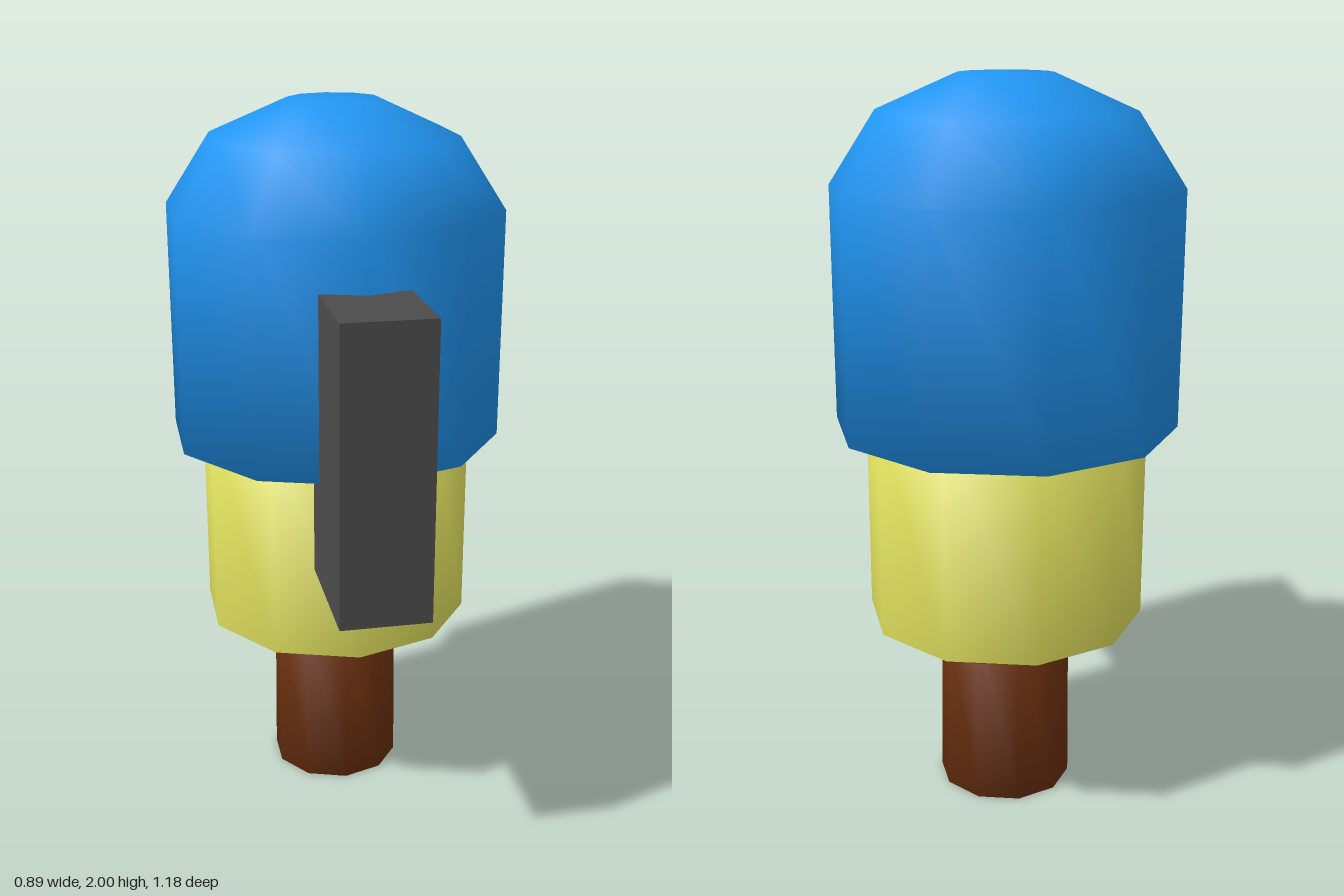
import * as THREE from 'three';

const SIDES = 10;
const BODY_Z = -0.12; // axis of all the turned parts

const paint = (color) => new THREE.MeshStandardMaterial({ color });

// Ten-sided turned part; the profile [radius, y] runs from the lower axis outward and up
function turned(name, color, profile) {
  const points = profile.map(([r, y]) => new THREE.Vector2(r, y));
  const mesh = new THREE.Mesh(new THREE.LatheGeometry(points, SIDES), paint(color));
  mesh.name = name;
  mesh.position.z = BODY_Z;
  return mesh;
}

export function createModel() {
  const model = new THREE.Group();
  model.name = 'model';

  // Domed cap with a flat underside
  model.add(turned('domedCap', 0x2196f3, [
    [0, 1.07], [0.47, 1.07], [0.47, 1.71], [0.342, 1.905], [0.125, 2], [0, 2],
  ]));

  // Sleeve, hollow from below, with a thin rim
  model.add(turned('sleeve', 0xdcdc5c, [
    [0, 0.68], [0.345, 0.68], [0.355, 0.52], [0.386, 0.52], [0.386, 1.12], [0, 1.12],
  ]));

  // Collar flaring up into the sleeve
  model.add(turned('collar', 0xb85c14, [
    [0, 0.435], [0.217, 0.435], [0.278, 0.69], [0, 0.69],
  ]));

  // Stem
  model.add(turned('stem', 0x6b300e, [
    [0, 0], [0.187, 0], [0.182, 0.46], [0, 0.46],
  ]));

  // Upright block set into the front
  const block = new THREE.Mesh(new THREE.BoxGeometry(0.24, 0.79, 0.41), paint(0x4c4c4c));
  block.name = 'frontBlock';
  block.position.set(0, 1.18, 0.385);
  model.add(block);

  return model;
}
